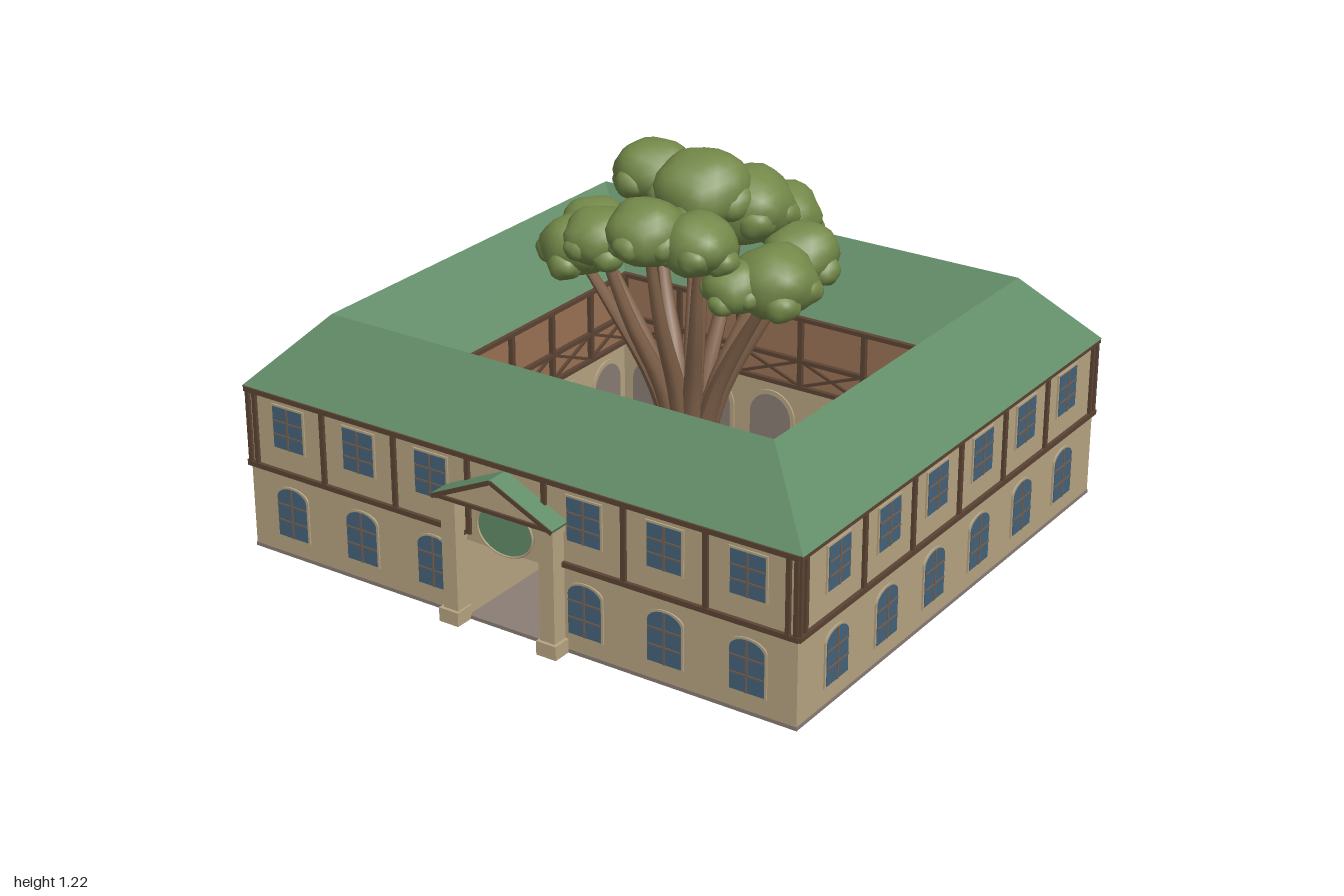
import * as THREE from 'three';
import { mergeVertices } from 'three/addons/utils/BufferGeometryUtils.js';

const mat = (name, color, extra = {}) => {
  const m = new THREE.MeshStandardMaterial({ color, ...extra });
  m.name = name;
  return m;
};
const M = {
  wall: mat('sandstone', 0xb8a582),
  roof: mat('green roof', 0x638d69),
  timber: mat('dark timber', 0x5c4433),
  glass: mat('window glass', 0x45637a),
  bar: mat('glazing bars', 0x77604e),
  floor: mat('paving', 0x8a7e75),
  panel: mat('gallery plaster', 0x9c7356),
  bark: mat('bark', 0x83644c),
  leaf: mat('foliage', 0x74894a),
};
const ZC = -0.033; // building centre in z

function add(parent, name, geo, material, x = 0, y = 0, z = 0) {
  const m = new THREE.Mesh(geo, material);
  m.name = name;
  m.position.set(x, y, z);
  parent.add(m);
  return m;
}
const box = (p, name, material, w, h, d, x, y, z) =>
  add(p, name, new THREE.BoxGeometry(w, h, d), material, x, y, z);

function group(parent, name, x = 0, y = 0, z = 0, ry = 0) {
  const g = new THREE.Group();
  g.name = name;
  g.position.set(x, y, z);
  g.rotation.y = ry;
  parent.add(g);
  return g;
}

// Flat plate with a curved top of the given rise, standing on y = 0
function archPlate(w, h, rise, depth) {
  const s = new THREE.Shape();
  s.moveTo(-w / 2, 0);
  s.lineTo(w / 2, 0);
  s.lineTo(w / 2, h - rise);
  if (rise > 0) s.absellipse(0, h - rise, w / 2, rise, 0, Math.PI, false);
  else s.lineTo(-w / 2, h);
  s.closePath();
  return new THREE.ExtrudeGeometry(s, { depth, bevelEnabled: false, curveSegments: 10 });
}

function windowUnit(parent, x, y, h, rise) {
  const g = group(parent, 'window', x, y, 0);
  add(g, 'windowFrame', archPlate(0.128, h + 0.012, rise, 0.005), M.wall, 0, -0.006, 0);
  add(g, 'windowGlass', archPlate(0.114, h, rise, 0.003), M.glass, 0, 0, 0.004);
  box(g, 'mullion', M.bar, 0.006, h, 0.003, 0, h / 2, 0.008);
  for (const t of [0.33, 0.66]) box(g, 'glazingBar', M.bar, 0.112, 0.005, 0.003, 0, h * t, 0.008);
}

// Outer face: arched ground floor windows and timber framed upper floor
function outerFacade(root, name, half, bays, x, z, ry, gate) {
  const g = group(root, name, x, 0, z, ry);
  const step = 0.275;
  for (let i = 0; i < bays; i++) {
    const c = (i - (bays - 1) / 2) * step;
    if (gate && Math.abs(c) < 0.01) continue;
    windowUnit(g, c, 0.07, 0.165, 0.035);
    windowUnit(g, c, 0.368, 0.136, 0);
  }
  for (let i = 1; i < bays; i++)
    box(g, 'timberPost', M.timber, 0.016, 0.25, 0.016, (i - bays / 2) * step, 0.41, 0.002);
  for (const s of [-1, 1]) {
    box(g, 'cornerPost', M.timber, 0.014, 0.25, 0.016, s * (half - 0.004), 0.41, 0.002);
    box(g, 'cornerPost', M.timber, 0.014, 0.25, 0.016, s * (half - 0.03), 0.41, 0.002);
    const inner = gate ? 0.15 : 0;
    box(g, 'beltBeam', M.timber, half + 0.007 - inner, 0.016, 0.02, s * (half + 0.007 + inner) / 2, 0.287, 0.002);
  }
  box(g, 'eavesBeam', M.timber, half * 2 + 0.014, 0.016, 0.02, 0, 0.535, 0.002);
}

// Courtyard face: arched doorways below, timber gallery with crossed railing above
function courtFacade(root, name, half, x, z, ry, gate) {
  const g = group(root, name, x, 0, z, ry);
  const bays = 5, step = (half * 2) / bays;
  box(g, 'galleryPanel', M.panel, half * 2, 0.25, 0.008, 0, 0.415, 0.003);
  for (const y of [0.29, 0.385, 0.532]) box(g, 'galleryRail', M.timber, half * 2, 0.014, 0.022, 0, y, 0.012);
  for (let i = 0; i <= bays; i++)
    box(g, 'galleryPost', M.timber, 0.016, 0.25, 0.022, (i - bays / 2) * step, 0.41, 0.012);
  for (let i = 0; i < bays; i++) {
    const c = (i - 2) * step;
    for (const s of [-1, 1])
      box(g, 'crossBrace', M.timber, Math.hypot(step, 0.09), 0.009, 0.009, c, 0.338, 0.013)
        .rotation.z = s * Math.atan2(0.09, step);
    if (gate && i === 2) continue;
    add(g, 'archFrame', archPlate(step * 0.78, 0.235, step * 0.39, 0.006), M.wall, c, 0.012, 0);
    add(g, 'archDoor', archPlate(step * 0.66, 0.22, step * 0.33, 0.004), M.floor, c, 0.012, 0.004);
  }
}

// Hollow hipped roof made from four rectangular loops
function roofGeometry() {
  const loops = [[1, 0.897, 0.542], [0.788, 0.712, 0.762], [0.577, 0.523, 0.542]];
  const corner = ([hx, hz, y], k) =>
    [[-hx, y, hz + ZC], [hx, y, hz + ZC], [hx, y, -hz + ZC], [-hx, y, -hz + ZC]][k % 4];
  const pos = [];
  for (let i = 0; i < 3; i++)
    for (let k = 0; k < 4; k++) {
      const a = corner(loops[i], k), b = corner(loops[i], k + 1);
      const c = corner(loops[(i + 1) % 3], k + 1), d = corner(loops[(i + 1) % 3], k);
      pos.push(...a, ...b, ...c, ...a, ...c, ...d);
    }
  const geo = new THREE.BufferGeometry();
  geo.setAttribute('position', new THREE.Float32BufferAttribute(pos, 3));
  geo.computeVertexNormals();
  return geo;
}

// Tube that narrows from r0 to r1 along its points
function limb(parent, name, pts, r0, r1) {
  const curve = new THREE.CatmullRomCurve3(pts.map(p => new THREE.Vector3(...p)));
  const seg = 10, sides = 8;
  const geo = new THREE.TubeGeometry(curve, seg, r0, sides);
  const p = geo.attributes.position, v = new THREE.Vector3();
  for (let i = 0; i < p.count; i++) {
    const t = Math.floor(i / (sides + 1)) / seg, c = curve.getPointAt(t);
    v.fromBufferAttribute(p, i).sub(c).multiplyScalar(1 + (r1 / r0 - 1) * t).add(c);
    p.setXYZ(i, v.x, v.y, v.z);
  }
  geo.computeVertexNormals();
  add(parent, name, geo, M.bark);
}

// Lumpy ball of leaves
function leafGeometry(seed) {
  let geo = new THREE.IcosahedronGeometry(1, 3);
  geo.deleteAttribute('normal');
  geo.deleteAttribute('uv');
  geo = mergeVertices(geo, 1e-4);
  const p = geo.attributes.position;
  for (let i = 0; i < p.count; i++) {
    const x = p.getX(i), y = p.getY(i), z = p.getZ(i);
    const k = 0.95 + 0.1 * Math.abs(Math.sin(3 * x + seed) * Math.cos(3.3 * z - seed) + Math.sin(3 * y + 2 * seed) * 0.5);
    p.setXYZ(i, x * k, y * k, z * k);
  }
  geo.computeVertexNormals();
  return geo;
}

function buildTree(root) {
  const g = group(root, 'courtyardTree');
  const tx = -0.01, tz = -0.1;
  const trunk = [[0.12, 0.01], [0.092, 0.04], [0.076, 0.1], [0.07, 0.18], [0.076, 0.26], [0.05, 0.32], [0, 0.33]];
  add(g, 'trunk', new THREE.LatheGeometry(trunk.map(p => new THREE.Vector2(...p)), 14), M.bark, tx, 0, tz);
  for (let i = 0; i < 8; i++) {
    const a = i * Math.PI / 4 + 0.3, c = Math.cos(a), s = Math.sin(a);
    limb(g, 'root', [[0.05, 0.1], [0.09, 0.04], [0.16, 0.015]].map(([r, y]) => [tx + c * r, y, tz + s * r]), 0.03, 0.01);
  }
  // Foliage clumps: x, y, z, radius, height factor
  const clumps = [
    [0.04, 1.1, -0.1, 0.155, 0.8], [0.14, 1.04, -0.2, 0.14, 0.85], [-0.01, 1.02, 0.13, 0.125, 0.85],
    [0.14, 1.0, 0.08, 0.12, 0.8], [-0.18, 0.97, 0.13, 0.115, 0.8], [-0.31, 0.9, 0.07, 0.12, 0.8],
    [-0.36, 0.89, -0.09, 0.11, 0.9], [-0.29, 1.03, -0.31, 0.13, 0.8], [-0.17, 0.99, -0.37, 0.12, 0.85],
    [0, 0.98, -0.38, 0.12, 0.85], [0.16, 0.96, -0.36, 0.12, 0.85], [0.31, 0.91, -0.23, 0.12, 0.8],
    [0.33, 0.88, -0.05, 0.13, 0.85], [0.24, 0.87, 0.03, 0.1, 0.85],
  ];
  clumps.forEach(([x, y, z, r, f], i) => {
    const geo = leafGeometry(i * 1.7);
    add(g, 'leafClump', geo, M.leaf, x, y, z).scale.set(r, r * f, r);
    for (let k = 0; k < 5; k++) {
      const a = k * 1.2566 + i * 0.8, q = r * 0.66;
      add(g, 'leafTuft', geo, M.leaf, x + Math.cos(a) * q, y - r * (0.15 + 0.2 * (k % 2)), z + Math.sin(a) * q)
        .scale.set(r * 0.45, r * 0.4, r * 0.45);
    }
    if (i !== 1 && i !== 13) {
      const dx = x - tx, dz = z - tz;
      limb(g, 'branch', [[tx + dx * 0.1, 0.22, tz + dz * 0.1], [tx + dx * 0.32, 0.45, tz + dz * 0.32],
        [tx + dx * 0.68, 0.68, tz + dz * 0.68], [x, y - 0.03, z]], 0.036, 0.014);
    }
  });
}

function buildPortico(root) {
  const g = group(root, 'portico', 0, 0, 0.857);
  for (const s of [-1, 1]) {
    box(g, 'pillarBase', M.wall, 0.07, 0.045, 0.066, s * 0.178, 0.0225, 0.03);
    box(g, 'pillar', M.wall, 0.052, 0.41, 0.055, s * 0.176, 0.205, 0.025);
    box(g, 'pillarCapital', M.wall, 0.064, 0.02, 0.062, s * 0.176, 0.4, 0.029);
    // sloping roof and its timber verge
    const len = Math.hypot(0.215, 0.1), tilt = -s * Math.atan2(0.1, 0.215);
    box(g, 'porticoRoof', M.roof, len, 0.012, 0.1, s * 0.1075, 0.468, 0.025).rotation.z = tilt;
    box(g, 'porticoVerge', M.timber, len, 0.014, 0.004, s * 0.1075, 0.466, 0.076).rotation.z = tilt;
  }
  const tri = new THREE.Shape([[-0.2, 0.415], [0.2, 0.415], [0, 0.508]].map(p => new THREE.Vector2(...p)));
  add(g, 'pediment', new THREE.ExtrudeGeometry(tri, { depth: 0.064, bevelEnabled: false }), M.wall);
  box(g, 'pedimentBeam', M.timber, 0.42, 0.012, 0.072, 0, 0.418, 0.036);
  // plain oval plaque
  const rim = add(g, 'plaqueRim', new THREE.TorusGeometry(0.1, 0.004, 6, 32), M.wall, 0, 0.335, 0.012);
  rim.scale.y = 0.8;
  const plaque = add(g, 'plaque', new THREE.CylinderGeometry(0.1, 0.1, 0.009, 32), M.roof, 0, 0.335, 0.007);
  plaque.rotation.x = Math.PI / 2;
  plaque.scale.z = 0.8;
}

export function createModel() {
  const root = new THREE.Group();
  root.name = 'courtyardHouse';
  const ox = 0.985, oz = 0.89, ix = 0.59, iz = 0.535, H = 0.542;

  // Ground and wings, leaving a gateway through the front
  box(root, 'paving', M.floor, ox * 2 + 0.004, 0.012, oz * 2 + 0.004, 0, 0.006, ZC);
  const wing = (name, w, y0, d, x, z) => box(root, name, M.wall, w, H - y0, d, x, (H + y0) / 2, z + ZC);
  const dz = oz - iz, zm = (oz + iz) / 2;
  wing('backWing', ox * 2, 0.006, dz, 0, -zm);
  for (const s of [-1, 1]) {
    wing('sideWing', ox - ix, 0.006, iz * 2, s * (ox + ix) / 2, 0);
    wing('frontWing', ox - 0.15, 0.006, dz, s * (ox + 0.15) / 2, zm);
  }
  wing('gateLintel', 0.3, 0.26, dz, 0, zm);
  add(root, 'roof', roofGeometry(), M.roof);

  const q = Math.PI / 2;
  outerFacade(root, 'frontFacade', ox, 7, 0, ZC + oz, 0, true);
  outerFacade(root, 'backFacade', ox, 7, 0, ZC - oz, Math.PI, false);
  courtFacade(root, 'courtBack', ix, 0, ZC - iz, 0, false);
  courtFacade(root, 'courtFront', ix, 0, ZC + iz, Math.PI, true);
  for (const s of [-1, 1]) {
    outerFacade(root, 'sideFacade', oz, 6, s * ox, ZC, s * q, false);
    courtFacade(root, 'courtSide', iz, s * ix, ZC, -s * q, false);
  }
  buildPortico(root);
  buildTree(root);
  return root;
}
